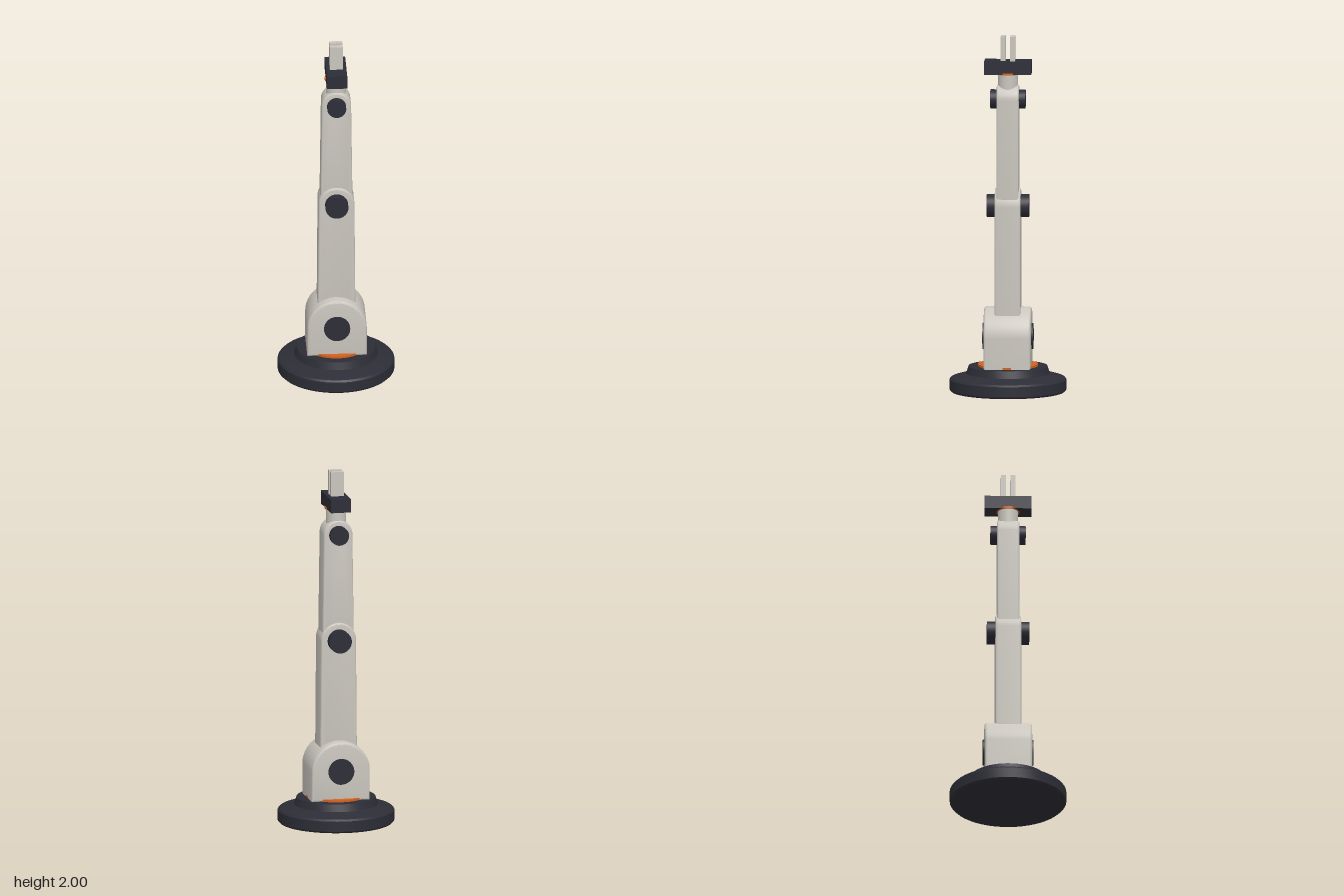
import * as THREE from 'three';
import { toCreasedNormals } from 'three/addons/utils/BufferGeometryUtils.js';

const mat = (name, color) => {
  const m = new THREE.MeshStandardMaterial({ color });
  m.name = name;
  return m;
};

export function createModel() {
  const shell = mat('warm grey shell', 0xcac6be);
  const dark = mat('charcoal', 0x2d2d37);
  const orange = mat('orange accent', 0xd4621f);
  const arm = new THREE.Group();
  arm.name = 'roboticArm';

  const add = (name, geometry, material, x = 0, y = 0, z = 0) => {
    const mesh = new THREE.Mesh(geometry, material);
    mesh.name = name;
    mesh.position.set(x, y, z);
    arm.add(mesh);
    return mesh;
  };

  // Extrude an outline along z, centred, with soft bevels kept inside it
  const plate = (shape, depth, bevel) => {
    const g = new THREE.ExtrudeGeometry(shape, {
      depth: depth - 2 * bevel, bevelEnabled: true, bevelThickness: bevel,
      bevelSize: bevel, bevelOffset: -bevel, bevelSegments: 3, curveSegments: 28,
    });
    g.translate(0, 0, -depth / 2 + bevel);
    return toCreasedNormals(g, 0.6);
  };

  // Tapered link outline: two round ends joined by their tangents
  const linkShape = (y0, r0, y1, r1) => {
    const a = Math.asin((r0 - r1) / (y1 - y0));
    const s = new THREE.Shape();
    s.absarc(0, y1, r1, a, Math.PI - a, false);
    s.absarc(0, y0, r0, Math.PI - a, 2 * Math.PI + a, false);
    return s;
  };

  // Joint pin running through the arm along z
  const pin = (name, y, r, halfLength) => {
    const p = add(name, new THREE.CylinderGeometry(r, r, halfLength * 2, 40), dark, 0, y, 0);
    p.rotation.x = Math.PI / 2;
  };

  // Stepped round base
  const profile = [
    [0, 0], [0.315, 0], [0.325, 0.01], [0.325, 0.068], [0.316, 0.078],
    [0.233, 0.102], [0.22, 0.143], [0, 0.143],
  ].map(([r, y]) => new THREE.Vector2(r, y));
  add('base', toCreasedNormals(new THREE.LatheGeometry(profile, 64), 0.4), dark);
  add('turntable', new THREE.CylinderGeometry(0.168, 0.168, 0.016, 64), orange, 0, 0.147, 0);

  // Shoulder housing: square foot, round top
  const housing = new THREE.Shape();
  housing.moveTo(-0.166, 0.14);
  housing.lineTo(0.166, 0.14);
  housing.lineTo(0.166, 0.31);
  housing.absarc(0, 0.31, 0.166, 0, Math.PI, false);
  housing.lineTo(-0.166, 0.14);
  add('shoulderHousing', plate(housing, 0.264, 0.014), shell);
  pin('shoulderPin', 0.31, 0.073, 0.141);

  // Arm links and joints
  add('upperArm', plate(linkShape(0.31, 0.106, 1.045, 0.1), 0.144, 0.01), shell);
  pin('elbowPin', 1.045, 0.064, 0.118);
  add('forearm', plate(linkShape(1.045, 0.09, 1.645, 0.082), 0.124, 0.01), shell);
  pin('wristPin', 1.645, 0.053, 0.098);

  // Wrist and gripper
  add('wrist', new THREE.CylinderGeometry(0.057, 0.057, 0.145, 40), shell, 0, 1.7175, 0);
  add('wristFlange', new THREE.CylinderGeometry(0.064, 0.064, 0.012, 40), orange, 0, 1.791, 0);
  add('gripperPalm', new THREE.BoxGeometry(0.114, 0.075, 0.262), dark, 0, 1.8245, 0);
  for (const side of [-1, 1]) {
    add(side > 0 ? 'frontFinger' : 'backFinger',
      new THREE.BoxGeometry(0.073, 0.14, 0.027), shell, 0, 1.93, side * 0.0268);
  }
  return arm;
}
